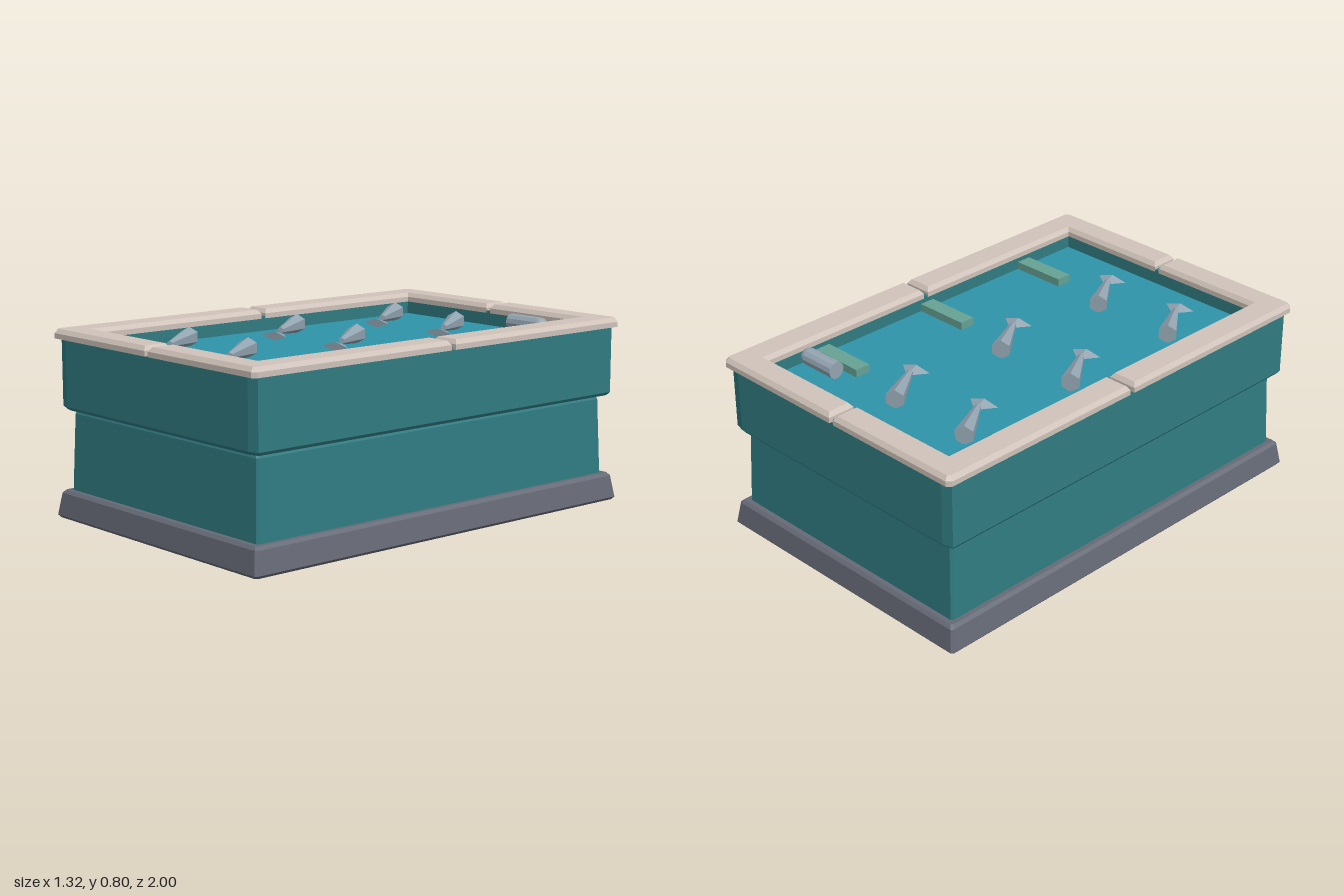
import * as THREE from 'three';

const material = (name, color) => {
  const m = new THREE.MeshStandardMaterial({ color });
  m.name = name;
  return m;
};

// Separate faces so every edge stays sharp
function facet(geometry) {
  const g = geometry.index ? geometry.toNonIndexed() : geometry;
  g.computeVertexNormals();
  return g;
}

// Stack of rectangular rings [halfX, halfZ, y, chamferX, chamferZ] joined by faces
function loft(rings, capTop) {
  const pos = [], index = [];
  for (const [x, z, y, cx = 0.008, cz = 0.008] of rings) {
    const outline = [
      [x, z - cz], [x, -z + cz], [x - cx, -z], [-x + cx, -z],
      [-x, -z + cz], [-x, z - cz], [-x + cx, z], [x - cx, z],
    ];
    for (const [px, pz] of outline) pos.push(px, y, pz);
  }
  for (let r = 0; r < rings.length - 1; r++) {
    for (let i = 0; i < 8; i++) {
      const a = r * 8 + i, b = r * 8 + (i + 1) % 8;
      index.push(a, b, b + 8, a, b + 8, a + 8);
    }
  }
  const t = (rings.length - 1) * 8;
  for (let i = 1; i < 7; i++) {
    index.push(0, i + 1, i);
    if (capTop) index.push(t, t + i, t + i + 1);
  }
  const g = new THREE.BufferGeometry();
  g.setAttribute('position', new THREE.Float32BufferAttribute(pos, 3));
  g.setIndex(index);
  return facet(g);
}

// L-shaped coping stone for one corner, bevelled along its top edges
function copingGeometry(sx, sz) {
  const bevel = 0.014, gap = 0.011;
  const ex = -0.005 + sx * gap, ez = -0.01 + sz * gap;
  const X = sx * 0.66, Z = sz, IX = sx * 0.53, IZ = sz * 0.875;
  const points = [
    [ex, Z], [X - sx * 0.018, Z], [X, Z - sz * 0.018], [X, ez],
    [IX, ez], [IX, IZ], [ex, IZ],
  ];
  const shape = new THREE.Shape(points.map(([x, z]) => new THREE.Vector2(x, -z)));
  const g = new THREE.ExtrudeGeometry(shape, {
    depth: 0.022, bevelEnabled: true, bevelSize: bevel, bevelOffset: -bevel,
    bevelThickness: 0.018, bevelSegments: 1,
  });
  g.rotateX(-Math.PI / 2);
  // flatten the underside so only the top is bevelled
  const p = g.attributes.position;
  for (let i = 0; i < p.count; i++) if (p.getY(i) < 0.001) p.setY(i, 0);
  g.translate(0, 0.754, 0);
  return facet(g);
}

export function createModel() {
  const model = new THREE.Group();
  model.name = 'pool';

  const teal = material('teal wall', 0x307c82);
  const water = material('blue water', 0x2f94a9);
  const stone = material('pale stone', 0xd0c3ba);
  const slate = material('dark slate', 0x666a76);
  const grey = material('blue grey', 0x94a5b2);
  const green = material('sea green', 0x66a294);

  const add = (parent, name, geometry, mat, x = 0, y = 0, z = 0) => {
    const mesh = new THREE.Mesh(geometry, mat);
    mesh.name = name;
    mesh.position.set(x, y, z);
    parent.add(mesh);
    return mesh;
  };

  // Base and walls
  add(model, 'plinth', loft([
    [0.65, 0.99, 0], [0.66, 1, 0.012], [0.645, 0.985, 0.105], [0.632, 0.972, 0.118],
  ], true), slate);
  add(model, 'lowerWall', loft([
    [0.612, 0.952, 0.11], [0.601, 0.94, 0.44], [0.59, 0.93, 0.462],
  ], true), teal);
  add(model, 'upperWall', loft([
    [0.63, 0.968, 0.458, 0.045, 0.012], [0.641, 0.979, 0.472, 0.045, 0.012],
    [0.641, 0.979, 0.764, 0.045, 0.012], [0.532, 0.876, 0.764, 0.001, 0.001],
    [0.532, 0.876, 0.695, 0.001, 0.001],
  ], false), teal);

  // Water surface
  const surface = new THREE.PlaneGeometry(1.066, 1.754).rotateX(-Math.PI / 2);
  add(model, 'waterSurface', surface, water, 0, 0.7, 0);

  // Four corner coping stones
  for (const sx of [-1, 1]) {
    for (const sz of [-1, 1]) add(model, 'coping', copingGeometry(sx, sz), stone);
  }

  // Three slats along one side
  for (const z of [-0.59, -0.005, 0.583]) {
    add(model, 'slat', new THREE.BoxGeometry(0.25, 0.034, 0.07), green, 0.405, 0.718, z);
  }

  // Round-ended float
  const float = new THREE.Group();
  float.name = 'float';
  float.position.set(0.296, 0.762, -0.714);
  model.add(float);
  const tube = new THREE.CylinderGeometry(0.037, 0.037, 0.165, 12).rotateZ(-Math.PI / 2);
  add(float, 'floatBody', facet(tube), grey, 0.0825, 0, 0);
  const dome = new THREE.SphereGeometry(0.037, 12, 4, 0, Math.PI * 2, 0, Math.PI / 2);
  add(float, 'floatEnd', dome.rotateZ(-Math.PI / 2), grey, 0.165, 0, 0);

  // Two columns of three fish
  const body = facet(new THREE.CylinderGeometry(0.014, 0.042, 0.225, 6).rotateX(Math.PI / 2));
  const tail = facet(new THREE.CylinderGeometry(0.012, 0.067, 0.055, 4)
    .rotateX(Math.PI / 2).scale(1, 0.3, 1));
  for (let col = 0; col < 2; col++) {
    for (let row = 0; row < 3; row++) {
      const fish = new THREE.Group();
      fish.name = 'fish';
      fish.position.set(-0.345 + col * 0.393, 0.738, -0.585 + row * 0.585);
      model.add(fish);
      const trunk = add(fish, 'fishBody', body, grey);
      trunk.rotation.y = Math.atan2(0.12, 0.19);
      // the tail fans out, so its narrow end faces the body
      const fan = add(fish, 'fishTail', tail, grey, 0.078, -0.015, 0.125);
      fan.rotation.y = Math.PI + 0.2;
    }
  }
  return model;
}
